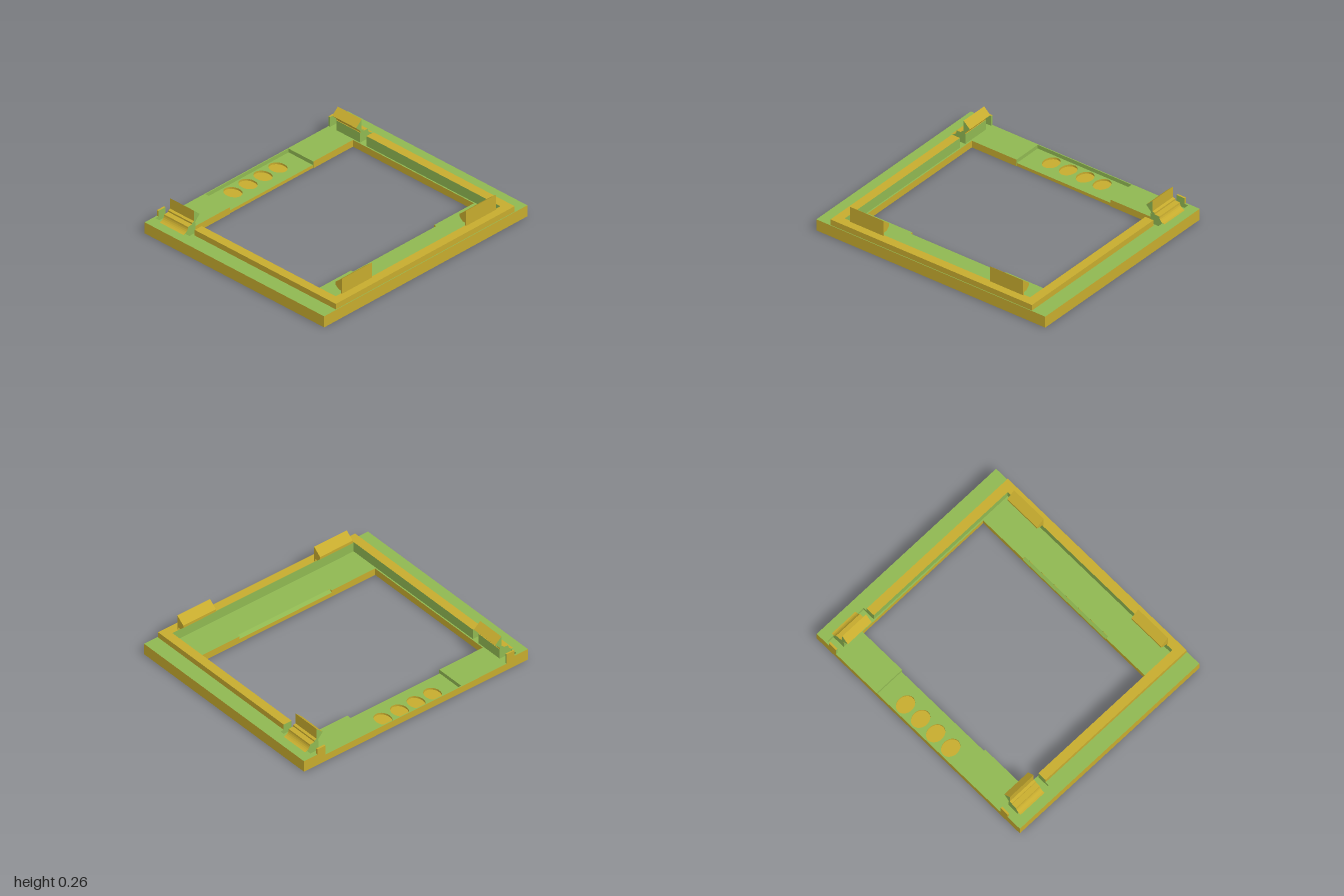
import * as THREE from 'three';

export function createModel() {
  const model = new THREE.Group();
  const ochre = new THREE.MeshStandardMaterial({ color: 0xc6ab2e });
  ochre.name = 'ochre';
  const green = new THREE.MeshStandardMaterial({ color: 0x8fb751 });
  green.name = 'green';

  const add = (name, geometry, material) => {
    const mesh = new THREE.Mesh(geometry, material);
    mesh.name = name;
    model.add(mesh);
    return mesh;
  };

  // Box from its limits; faces lists the green sides (+x -x +y -y +z -z), the rest are ochre
  const SIDES = ['+x', '-x', '+y', '-y', '+z', '-z'];
  const box = (name, [x0, x1], [y0, y1], [z0, z1], faces = '+y') => {
    const g = new THREE.BoxGeometry(Math.abs(x1 - x0), y1 - y0, z1 - z0);
    g.translate((x0 + x1) / 2, (y0 + y1) / 2, (z0 + z1) / 2);
    return add(name, g, SIDES.map(f => (faces.includes(f) ? green : ochre)));
  };

  const shapeOf = pts => new THREE.Shape(pts.map(p => new THREE.Vector2(p[0], p[1])));

  // Profile given as (z, y), extruded across x
  const extrudeAcross = (name, pts, x0, x1, material) => {
    const g = new THREE.ExtrudeGeometry(shapeOf(pts), { depth: x1 - x0, bevelEnabled: false });
    g.rotateY(-Math.PI / 2).translate(x1, 0, 0);
    return add(name, g, material);
  };

  const FLOOR = 0.055, DECK = 0.09, RIM = 0.135, END = 0.865;

  for (const s of [-1, 1]) {
    const span = (a, b) => [s * a, s * b];
    const inward = s > 0 ? '-x' : '+x';

    // Side rails: outer deck, low ledge and raised rim with a gap for the clip
    box('sideDeck', span(0.91, 1), [0, DECK], [-END, END], '+y ' + inward);
    box('sideLedge', span(0.8, 0.91), [0, FLOOR], [-END, END]);
    box('sideDeckInner', span(0.81, 0.91), [FLOOR, DECK], [-0.5, END], '+y -z ' + inward);
    box('sideRim', span(0.81, 0.88), [DECK, RIM], [-0.5, 0.86], '-z ' + inward);
    box('rearDeckEnd', span(0.81, 0.91), [FLOOR, DECK], [-END, -0.85], '+y +z ' + inward);
    box('rearPost', span(0.81, 0.88), [DECK, RIM], [-END, -0.85], '+z ' + inward);

    // Side clip: curved foot, thin stem and pointed catch
    const foot = [];
    for (let i = 0; i <= 6; i++) {
      const a = (i / 6) * Math.PI / 2;
      foot.push([s * (0.93 - 0.045 * Math.sin(a)), RIM - 0.045 * Math.cos(a)]);
    }
    const rest = [[0.845, 0.138], [0.845, 0.15], [0.825, 0.155], [0.825, 0.24],
      [0.77, 0.19], [0.808, 0.152], [0.815, 0.135], [0.815, 0.05], [0.93, 0.05]];
    const clip = new THREE.ExtrudeGeometry(
      shapeOf([...foot, ...rest.map(([x, y]) => [s * x, y])]),
      { depth: 0.23, bevelEnabled: false });
    add('sideClip', clip.translate(0, 0, -0.79), [green, ochre]);
    box('clipInnerFace', span(0.81, 0.815), [FLOOR, 0.135], [-0.79, -0.56], '+x -x +z -z');

    // Front hook standing on the rim
    const hook = [[0.8, 0.13], [0.8, 0.257], [0.735, 0.205], [0.735, 0.185],
      [0.765, 0.158], [0.79, 0.158], [0.79, 0.13]];
    const [h0, h1] = s > 0 ? [0.465, 0.757] : [-0.757, -0.465];
    extrudeAcross('frontHook', hook, h0, h1, ochre);

    // Front lip and rear floor on either side of the centre
    box('frontFloorLip', span(0.41, 0.8), [0, FLOOR], [0.545, 0.565]);
    box('rearFloor', span(0.41, 0.8), [0, FLOOR], [-END, -0.62], '+y ' + inward);
  }

  // Front bar with a chamfer at the middle of its inner edge
  box('frontFloor', [-0.8, 0.8], [0, FLOOR], [0.565, END]);
  box('frontDeck', [-0.81, 0.81], [FLOOR, DECK], [0.79, END], '+y -z');
  box('frontRim', [-0.81, 0.81], [DECK, RIM], [0.79, 0.86], '-z');
  extrudeAcross('frontChamferBody', [[0.545, 0], [0.545, 0.034], [0.565, 0.054], [0.565, 0]],
    -0.41, 0.41, ochre);
  const chamfer = new THREE.PlaneGeometry(0.82, Math.hypot(0.02, 0.02));
  chamfer.rotateY(Math.PI).rotateX(Math.PI / 4).translate(0, 0.0448, 0.5542);
  add('frontChamfer', chamfer, green);

  // Rear recess with four shallow oval pockets
  box('pocketFloor', [-0.41, 0.41], [0, 0.01], [-END, -0.625], '');
  box('rearLip', [-0.41, 0.41], [0.01, FLOOR], [-END, -0.858], '+y +z');
  const plate = shapeOf([[-0.41, 0.625], [0.41, 0.625], [0.41, 0.858], [-0.41, 0.858]]);
  for (let i = 0; i < 4; i++) {
    const hole = new THREE.Path();
    hole.absellipse(-0.225 + i * 0.148, 0.773, 0.06, 0.073, 0, Math.PI * 2, true);
    plate.holes.push(hole);
  }
  const plateGeo = new THREE.ExtrudeGeometry(plate, { depth: 0.015, bevelEnabled: false, curveSegments: 16 });
  add('recessPlate', plateGeo.rotateX(-Math.PI / 2).translate(0, 0.01, 0), [green, ochre]);

  return model;
}
